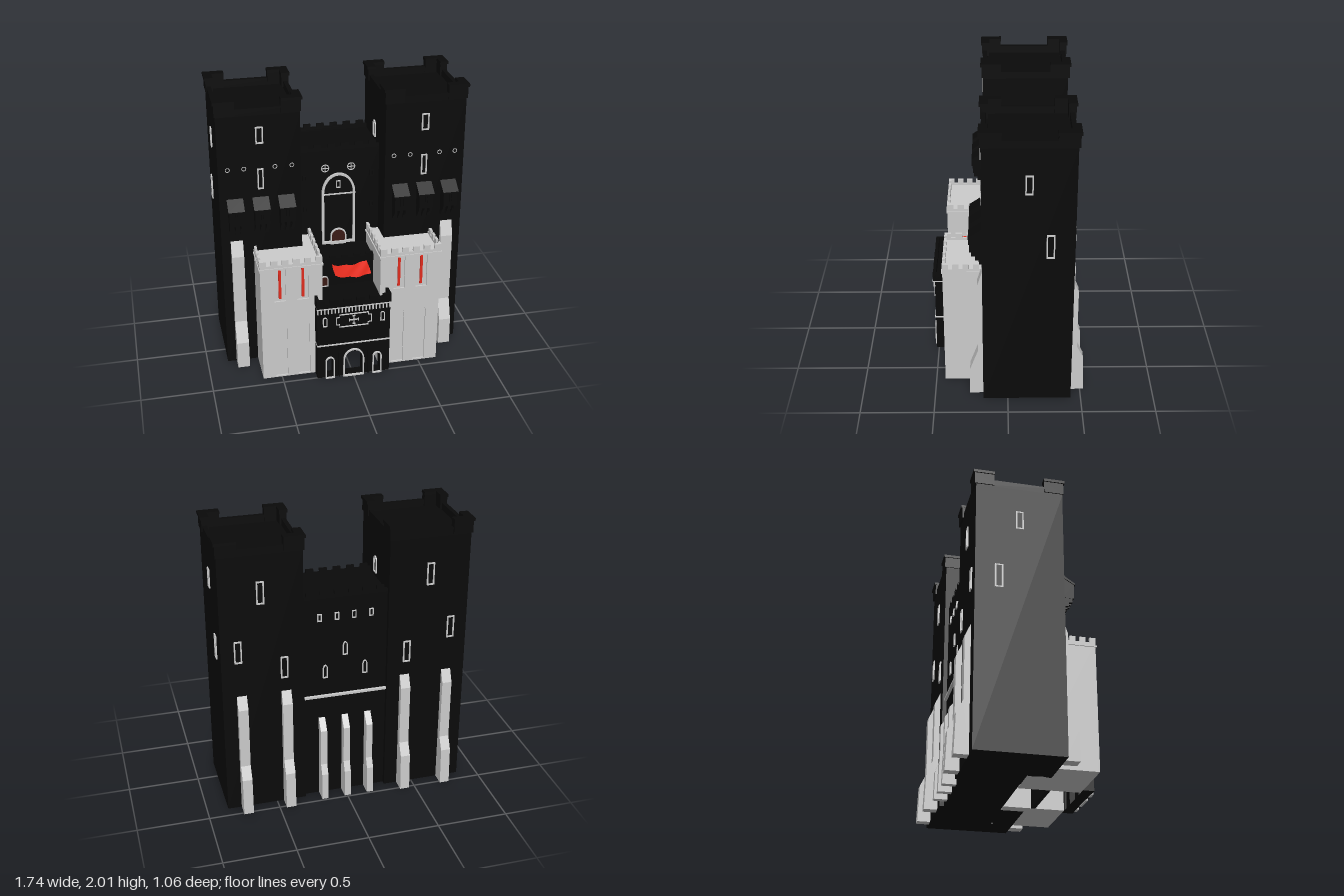
import * as THREE from 'three';

const grey = new THREE.MeshStandardMaterial({ color: 0xcccccc, side: THREE.DoubleSide });
const dark = new THREE.MeshStandardMaterial({ color: 0x0a0a0a, side: THREE.DoubleSide });
const red = new THREE.MeshStandardMaterial({ color: 0xe02a1c, side: THREE.DoubleSide });
const brown = new THREE.MeshStandardMaterial({ color: 0x3a1a14, side: THREE.DoubleSide });

// Outline of an opening w wide and h high standing on (x, y); rise > 0 gives an arched head
function outline(PathType, x, y, w, h, rise = 0) {
  const p = new PathType();
  const a = x - w / 2, b = x + w / 2;
  p.moveTo(a, y);
  p.lineTo(b, y);
  p.lineTo(b, y + h - rise);
  if (rise) p.absellipse(x, y + h - rise, w / 2, rise, 0, Math.PI, false);
  else p.lineTo(a, y + h);
  p.lineTo(a, y);
  return p;
}
const poly = (pts) => new THREE.Shape(pts.map(([x, y]) => new THREE.Vector2(x, y)));
const extrude = (shape, depth) =>
  new THREE.ExtrudeGeometry(shape, { depth, bevelEnabled: false, curveSegments: 10 });

export function createModel() {
  const model = new THREE.Group();
  model.name = 'castleGate';

  function add(name, geo, mat, x = 0, y = 0, z = 0, ry = 0, parent = model) {
    const m = new THREE.Mesh(geo, mat);
    m.name = name;
    m.position.set(x, y, z);
    m.rotation.y = ry;
    parent.add(m);
    return m;
  }
  function box(name, mat, x0, x1, y0, y1, z0, z1, parent = model) {
    return add(name, new THREE.BoxGeometry(x1 - x0, y1 - y0, z1 - z0), mat,
      (x0 + x1) / 2, (y0 + y1) / 2, (z0 + z1) / 2, 0, parent);
  }
  // Thin surround of an opening, bottom centre at (x, y, z), facing along ry
  function frame(name, x, y, z, w, h, rise = 0, ry = 0, t = 0.009, mat = grey, depth = 0.012) {
    const s = outline(THREE.Shape, 0, 0, w, h, rise);
    s.holes.push(outline(THREE.Path, 0, t, w - 2 * t, h - 2 * t, rise && rise - t));
    return add(name, extrude(s, depth), mat, x, y, z, ry);
  }
  // Evenly spaced merlons along x or z
  function merlons(name, mat, n, axis, from, to, ratio, y0, y1, c0, c1) {
    const len = (to - from) / (n - 1 + ratio);
    for (let i = 0; i < n; i++) {
      const a = from + i * len, b = a + len * ratio;
      if (axis === 'x') box(name, mat, a, b, y0, y1, c0, c1);
      else box(name, mat, c0, c1, y0, y1, a, b);
    }
  }
  // Buttress from a side profile of [outward distance, height]
  function buttress(name, x, z, w, pts, ry) {
    const g = extrude(poly(pts), w);
    g.translate(0, 0, -w / 2);
    g.rotateY(-Math.PI / 2);
    add(name, g, grey, x, 0, z, ry);
  }

  const frontProfile = [[0, 0], [0.095, 0], [0.09, 0.2], [0.035, 0.35], [0.035, 0.87], [0, 0.98]];
  const rearProfile = [[0, 0], [0.095, 0], [0.085, 0.27], [0.04, 0.36], [0.04, 0.8], [0, 0.89]];
  const smallProfile = [[0, 0], [0.095, 0], [0.09, 0.2], [0.06, 0.27], [0.06, 0.54], [0, 0.62]];

  for (const s of [-1, 1]) {
    const side = (name, mat, x0, x1, ...r) =>
      s > 0 ? box(name, mat, x0, x1, ...r) : box(name, mat, -x1, -x0, ...r);

    // Great tower with a low parapet around the roof
    side('greatTower', dark, 0.293, 0.855, 0, 1.89, -0.43, 0.168);
    side('towerParapet', dark, 0.293, 0.855, 1.89, 1.94, 0.138, 0.168);
    side('towerParapet', dark, 0.293, 0.855, 1.89, 1.94, -0.43, -0.4);
    side('towerParapet', dark, 0.293, 0.323, 1.89, 1.94, -0.43, 0.168);
    side('towerParapet', dark, 0.825, 0.855, 1.89, 1.94, -0.43, 0.168);
    // L-shaped raised corners with overhanging caps
    for (const cx of [-1, 1]) for (const cz of [-1, 1]) {
      const corner = (len, t) => {
        const pts = [[0, 0], [len, 0], [len, t], [t, t], [t, len], [0, len]]
          .map(([a, b]) => [-cx * a, cz * b]);
        return poly(pts);
      };
      const x = s * 0.574, z = -0.1335;
      const cap = extrude(corner(0.145, 0.06), 0.02).rotateX(-Math.PI / 2);
      const wall = extrude(corner(0.135, 0.05), 0.085).rotateX(-Math.PI / 2);
      add('cornerCap', cap, dark, x + cx * 0.296, 1.98, z + cz * 0.316);
      add('cornerWall', wall, dark, x + cx * 0.288, 1.897, z + cz * 0.308);
    }

    // Tower windows: front, outer side, inner side, back
    frame('frontWindow', s * 0.57, 1.69, 0.165, 0.052, 0.12);
    frame('frontWindow', s * 0.57, 1.36, 0.165, 0.042, 0.15);
    const out = s * Math.PI / 2;
    frame('sideWindow', s * 0.852, 1.575, -0.132, 0.052, 0.135, 0, out);
    frame('sideWindow', s * 0.852, 1.12, -0.272, 0.055, 0.17, 0, out);
    frame('innerWindow', s * 0.296, 1.55, -0.13, 0.06, 0.12, 0.03, -out);
    for (const [x, y] of [[0.58, 1.55], [0.74, 1.14], [0.43, 0.99]])
      frame('backWindow', s * x, y, -0.427, 0.052, 0.16, 0, Math.PI);
    for (const x of [0.355, 0.47, 0.68, 0.79])
      add('roundOpening', new THREE.TorusGeometry(0.014, 0.003, 4, 16), grey, s * x, 1.515, 0.169);

    // Projecting lookout boxes on stepped corbels
    for (const x of [0.4, 0.575, 0.75]) {
      const body = poly([[0, 1.13], [0.08, 1.13], [0.08, 1.235], [0, 1.29]]);
      const g = extrude(body, 0.1).translate(0, 0, -0.05).rotateY(-Math.PI / 2);
      add('lookoutBox', g, dark, s * x, 0, 0.168);
      const roof = poly([[0, 1.28], [0.088, 1.228], [0.088, 1.24], [0, 1.3]]);
      add('lookoutRoof', extrude(roof, 0.112).translate(0, 0, -0.056).rotateY(-Math.PI / 2),
        dark, s * x, 0, 0.168);
      frame('lookoutSlit', s * x, 1.165, 0.245, 0.022, 0.065, 0, 0, 0.005, dark);
      for (const d of [-0.038, 0, 0.038]) for (let i = 0; i < 3; i++)
        box('lookoutCorbel', dark, s * x + d - 0.01, s * x + d + 0.01,
          1.04 + i * 0.03, 1.07 + i * 0.03, 0.16, 0.188 + i * 0.025);
    }

    // Buttresses of the great tower (profile turned to face front or back)
    buttress('frontButtress', s * 0.75, 0.168, 0.085, frontProfile, 0);
    for (const m of model.children.slice(-1)) m.geometry.scale(1, 1, 1);
    for (const x of [0.42, 0.725]) buttress('rearButtress', s * x, -0.43, 0.068, rearProfile, Math.PI);

    // Forward tower with recessed panels and blind arches
    side('forwardTower', grey, 0.205, 0.635, 0, 0.89, 0.005, 0.425);
    const face = outline(THREE.Shape, s * 0.42, 0, 0.43, 0.88);
    for (const x of [0.34, 0.5]) {
      face.holes.push(outline(THREE.Path, s * x, 0.01, 0.085, 0.45, 0.05));
      face.holes.push(outline(THREE.Path, s * x, 0.62, 0.08, 0.25));
      box('redBanner', red, s * x - 0.009, s * x + 0.009, 0.64, 0.86, 0.42, 0.434);
    }
    add('forwardTowerFacing', extrude(face, 0.012), grey, 0, 0, 0.425);
    side('forwardTowerString', grey, 0.198, 0.642, 0.873, 0.885, 0.005, 0.444);
    // Its parapet and merlons on three sides
    side('forwardParapet', grey, 0.205, 0.637, 0.885, 0.905, 0.42, 0.438);
    side('forwardParapet', grey, 0.205, 0.223, 0.885, 0.905, 0.005, 0.42);
    side('forwardParapet', grey, 0.619, 0.637, 0.885, 0.905, 0.168, 0.42);
    const [a, b] = s > 0 ? [0.205, 0.637] : [-0.637, -0.205];
    merlons('forwardMerlon', grey, 6, 'x', a, b, 0.6, 0.9, 0.94, 0.42, 0.438);
    for (const [c, z0, n] of [[0.205, 0.005, 6], [0.619, 0.19, 4]])
      merlons('forwardMerlon', grey, n, 'z', z0, 0.438, 0.6, 0.9, 0.94,
        s > 0 ? c : -c - 0.018, s > 0 ? c + 0.018 : -c);
  }

  // Central wall with battlements
  box('centralWall', dark, -0.295, 0.295, 0, 1.52, -0.4, 0);
  for (const z of [-0.4, -0.02]) {
    box('centralParapet', dark, -0.293, 0.293, 1.52, 1.545, z, z + 0.02);
    merlons('centralMerlon', dark, 6, 'x', -0.27, 0.27, 0.55, 1.54, 1.57, z, z + 0.02);
  }
  // Great arched window, inner bar, little window and door
  frame('greatArch', 0, 0.8, -0.002, 0.24, 0.55, 0.15, 0, 0.016, grey, 0.02);
  box('archBar', grey, -0.105, 0.105, 1.183, 1.192, -0.002, 0.008);
  frame('archWindow', 0, 1.235, -0.002, 0.03, 0.055, 0, 0, 0.005);
  add('terraceDoor', extrude(outline(THREE.Shape, 0, 0, 0.1, 0.105, 0.05), 0.008), brown, 0, 0.8, 0);
  frame('terraceDoorFrame', 0, 0.79, -0.002, 0.115, 0.125, 0.055, 0, 0.01, grey, 0.014);
  for (const s of [-1, 1]) {
    add('roseWindow', new THREE.TorusGeometry(0.026, 0.004, 4, 20), grey, s * 0.093, 1.39, 0.002);
    box('roseBar', grey, s * 0.093 - 0.024, s * 0.093 + 0.024, 1.387, 1.393, 0, 0.005);
    box('roseBar', grey, s * 0.093 - 0.003, s * 0.093 + 0.003, 1.366, 1.414, 0, 0.005);
    for (const y of [1.07, 1.31]) frame('wallSlit', s * 0.24, y, 0, 0.025, 0.04, 0, 0, 0.005, dark);
  }

  // Back of the central wall
  box('backString', grey, -0.293, 0.293, 0.785, 0.8, -0.42, -0.4);
  for (const x of [-0.165, 0, 0.165]) buttress('smallButtress', x, -0.4, 0.045, smallProfile, Math.PI);
  for (const [x, y] of [[-0.14, 0.93], [0, 1.09], [0.14, 0.93]])
    frame('backArchWindow', x, y, -0.397, 0.035, 0.1, 0.03, Math.PI, 0.007);
  for (const x of [-0.18, -0.06, 0.06, 0.18])
    frame('backSmallWindow', x, 1.36, -0.397, 0.03, 0.055, 0, Math.PI, 0.006);

  // Terrace between the forward towers
  box('terrace', dark, -0.205, 0.205, 0.3, 0.785, 0, 0.23);
  box('terraceParapet', dark, -0.205, 0.205, 0.78, 0.8, 0.215, 0.235);
  merlons('terraceMerlon', dark, 5, 'x', -0.2, 0.2, 0.55, 0.79, 0.82, 0.215, 0.235);
  add('smallDoor', extrude(outline(THREE.Shape, 0, 0, 0.045, 0.075, 0.022), 0.006), brown, -0.15, 0.585, 0.23);
  frame('smallDoorFrame', -0.15, 0.58, 0.229, 0.055, 0.085, 0.027, 0, 0.007);

  // Sagging red awning
  const cloth = new THREE.PlaneGeometry(0.255, 0.12, 12, 6).rotateX(-Math.PI / 2);
  const p = cloth.attributes.position;
  for (let i = 0; i < p.count; i++) {
    const u = p.getX(i) / 0.1275, v = p.getZ(i) / 0.06;
    p.setY(i, 0.72 + 0.02 * u * u - 0.016 * v + 0.005 * Math.sin(7 * u + 3 * v));
    p.setZ(i, p.getZ(i) + 0.008 * u * v);
  }
  cloth.computeVertexNormals();
  add('awning', cloth, red, 0.03, 0, 0.297);

  // Gatehouse front with open gate arches, and the deck behind it
  const gate = outline(THREE.Shape, 0, 0, 0.52, 0.58);
  gate.holes.push(outline(THREE.Path, 0, 0.002, 0.13, 0.21, 0.075));
  for (const s of [-1, 1]) gate.holes.push(outline(THREE.Path, s * 0.17, 0.002, 0.052, 0.16, 0.03));
  add('gatehouseFront', extrude(gate, 0.075), dark, 0, 0, 0.44);
  box('gatehouseDeck', dark, -0.26, 0.26, 0.55, 0.58, 0.2, 0.515);
  box('passageBackWall', dark, -0.205, 0.205, 0, 0.3, 0.2, 0.23);
  frame('gateArch', 0, -0.006, 0.512, 0.15, 0.226, 0.085, 0, 0.01, grey, 0.016);
  const gable = poly([[-0.108, 0], [-0.108, 0.2], [0, 0.255], [0.108, 0.2], [0.108, 0],
    [0.102, 0], [0.102, 0.197], [0, 0.248], [-0.102, 0.197], [-0.102, 0]]);
  add('gateGable', extrude(gable, 0.014), dark, 0, 0, 0.513);
  for (const s of [-1, 1]) {
    frame('sideArch', s * 0.17, -0.006, 0.512, 0.066, 0.178, 0.036, 0, 0.008, grey, 0.016);
    frame('gatehouseWindow', s * 0.205, 0.425, 0.51, 0.032, 0.075, 0.016, 0, 0.006);
  }
  box('gatehouseString', grey, -0.262, 0.262, 0.265, 0.274, 0.44, 0.522);

  // Notched panel with a cross
  const notched = (k) => [[-1, -0.6], [-0.82, -0.6], [-0.82, -1], [0.82, -1], [0.82, -0.6], [1, -0.6],
    [1, 0.6], [0.82, 0.6], [0.82, 1], [-0.82, 1], [-0.82, 0.6], [-1, 0.6]]
    .map(([x, y]) => [x * (0.127 - k), y * (0.052 - k)]);
  const panel = poly(notched(0));
  panel.holes.push(poly(notched(0.006)));
  add('panelFrame', extrude(panel, 0.01), grey, 0, 0.46, 0.513);
  box('crossBar', grey, -0.032, 0.032, 0.456, 0.464, 0.513, 0.521);
  box('crossBar', grey, -0.004, 0.004, 0.428, 0.492, 0.513, 0.521);
  for (const s of [-1, 1]) {
    box('crossEnd', grey, s * 0.032 - 0.004, s * 0.032 + 0.004, 0.45, 0.47, 0.513, 0.521);
    box('crossEnd', grey, -0.01, 0.01, 0.456 + s * 0.032, 0.464 + s * 0.032, 0.513, 0.521);
  }

  // Corbel table and battlements of the gatehouse
  box('corbelLine', grey, -0.264, 0.264, 0.568, 0.577, 0.44, 0.53);
  merlons('corbel', grey, 22, 'x', -0.26, 0.26, 0.35, 0.53, 0.57, 0.51, 0.526);
  box('gatehouseParapet', dark, -0.264, 0.264, 0.577, 0.61, 0.505, 0.528);
  merlons('gatehouseMerlon', dark, 6, 'x', -0.264, 0.264, 0.65, 0.6, 0.64, 0.505, 0.528);
  for (const x of [-0.264, 0.244]) box('gatehouseParapet', dark, x, x + 0.02, 0.577, 0.64, 0.44, 0.528);

  // Side profiles are drawn outward along +x, so turn them to face +z
  model.traverse((m) => {
    if (/Buttress|lookout(Box|Roof)/.test(m.name)) m.geometry.scale(1, 1, 1);
  });
  return model;
}
